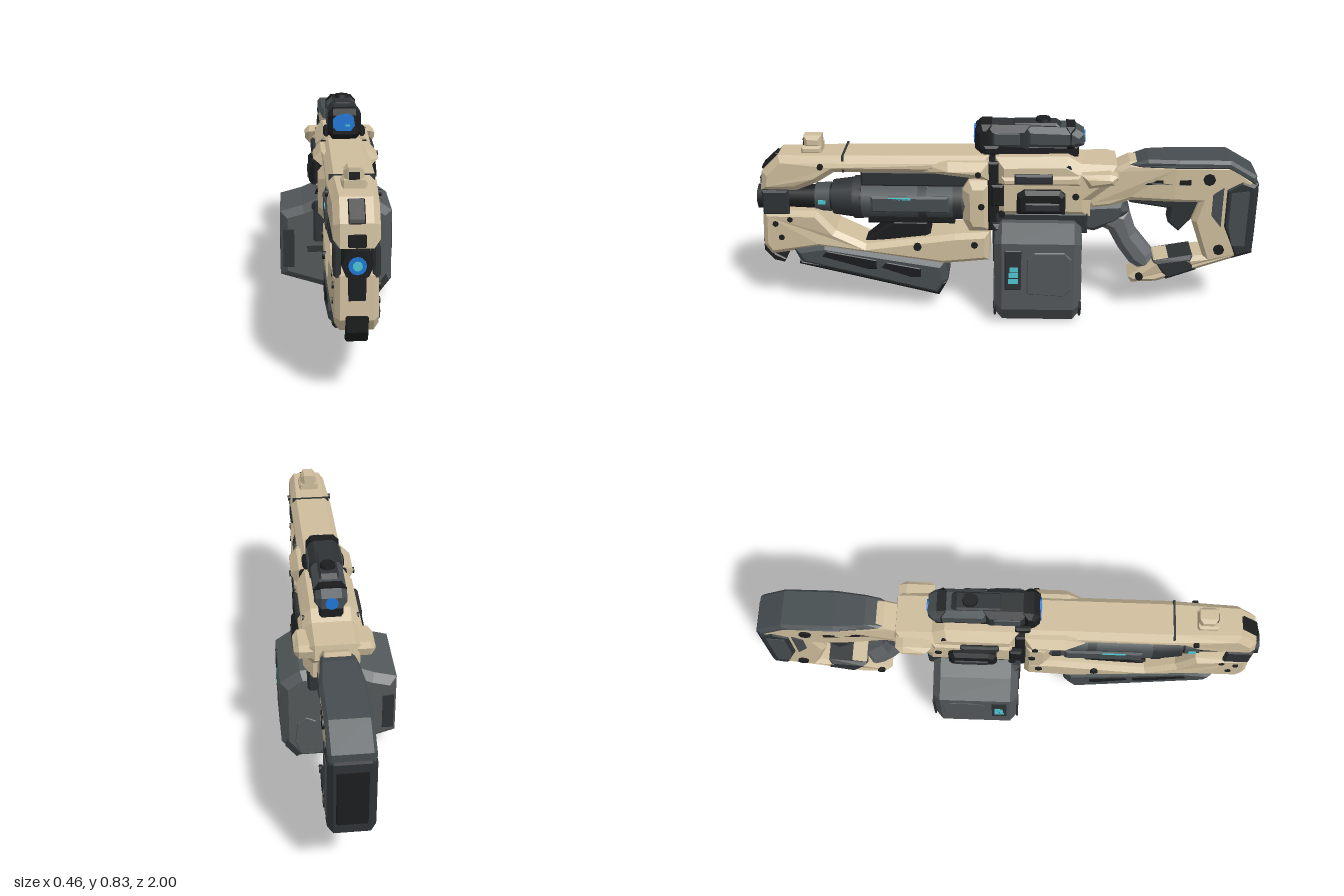
import * as THREE from 'three';

const mat = (name, color) => new THREE.MeshStandardMaterial({ name, color });

export function createModel() {
  const tan = mat('tan shell', 0xcfbe9d), slate = mat('blue slate', 0x464d50), steel = mat('magazine grey', 0x53585a),
    dark = mat('dark grey', 0x2f3335), black = mat('black', 0x1b1d1e), gripGrey = mat('grip grey', 0x676b6f),
    blue = mat('blue lens', 0x1f78d8), cyan = mat('cyan light', 0x4cc8d2);
  const root = new THREE.Group();
  root.name = 'rifle';
  const gun = new THREE.Group();
  gun.name = 'gunBody';
  gun.position.x = 0.028;
  root.add(gun);

  const add = (name, geo, m, parent = gun) => {
    const mesh = new THREE.Mesh(geo, m);
    mesh.name = name;
    parent.add(mesh);
    return mesh;
  };
  // Extrudes a bevelled outline, keeping its outer size
  const slab = (pts, width, bevel) => {
    const shape = new THREE.Shape();
    for (let i = 0; i < pts.length; i += 2) shape[i ? 'lineTo' : 'moveTo'](pts[i], pts[i + 1]);
    const g = new THREE.ExtrudeGeometry(shape, {
      depth: width - 2 * bevel, bevelEnabled: bevel > 0, bevelThickness: bevel,
      bevelSize: bevel, bevelOffset: -bevel, bevelSegments: 1,
    });
    return g.translate(0, 0, -(width - 2 * bevel) / 2);
  };
  // Side outline of z, y pairs extruded across x; widthAt scales x along the part
  const side = (name, pts, width, m, { bevel = 0.015, x = 0, widthAt, parent = gun } = {}) => {
    const g = slab(pts, width, bevel).rotateY(-Math.PI / 2).translate(x, 0, 0);
    if (widthAt) {
      const p = g.attributes.position;
      for (let i = 0; i < p.count; i++) p.setX(i, p.getX(i) * widthAt(p.getZ(i)));
      g.computeVertexNormals();
    }
    return add(name, g, m, parent);
  };
  // Block by its z and y ranges
  const block = (name, z0, z1, y0, y1, width, m, o = {}) => {
    const [a, b] = [Math.min(z0, z1), Math.max(z0, z1)];
    return side(name, [a, y0, b, y0, b, y1, a, y1], width, m, { bevel: 0.008, ...o });
  };
  const tube = (name, z0, z1, r0, r1, m, y = 0.48, n = 16) => {
    const g = new THREE.CylinderGeometry(r1, r0, z1 - z0, n).rotateX(Math.PI / 2);
    return add(name, g.translate(0, y, (z0 + z1) / 2), m);
  };
  const both = (f) => [-1, 1].forEach(f);
  const bolt = (z, y, half, r = 0.02) => both((s) => {
    const g = new THREE.CylinderGeometry(r, r, 0.014, 8).rotateZ(Math.PI / 2);
    add('bolt', g.translate(s * half, y, z), black);
  });

  // Upper shroud and its rear flare
  side('upperShroud', [0.97, 0.53, 0.96, 0.61, 0.89, 0.68, 0.62, 0.685, 0.06, 0.69, 0.06, 0.615, 0.67, 0.615, 0.74, 0.57, 0.83, 0.53],
    0.175, tan, { bevel: 0.025, widthAt: (z) => (z > 0.8 ? 0.88 : 1) });
  side('shroudFlare', [0.06, 0.6, 0.32, 0.62, 0.32, 0.655, 0.22, 0.675, 0.06, 0.675], 0.25, tan,
    { bevel: 0.03, widthAt: (z) => (z > 0.25 ? 0.72 : 1) });
  block('shroudSeam', 0.628, 0.636, 0.62, 0.688, 0.16, dark, { bevel: 0 });
  block('underShroudBlock', 0.1, 0.57, 0.55, 0.616, 0.11, dark);
  side('frontPort', [0.957, 0.606, 0.966, 0.612, 0.962, 0.625, 0.905, 0.678, 0.885, 0.672], 0.055, black, { bevel: 0.003 });
  block('frontBrowPlate', 0.964, 0.976, 0.535, 0.575, 0.06, black, { bevel: 0.003 });
  bolt(0.72, 0.645, 0.088, 0.012);
  bolt(0.1, 0.635, 0.124, 0.012);

  // Front sight
  block('sightBase', 0.72, 0.8, 0.68, 0.71, 0.085, tan);
  block('frontSight', 0.72, 0.79, 0.7, 0.75, 0.068, tan, { bevel: 0.014 });
  block('sightWindow', 0.78, 0.794, 0.705, 0.735, 0.035, black, { bevel: 0 });

  // Barrel assembly
  tube('muzzle', 0.9, 0.992, 0.055, 0.052, black, 0.48, 8);
  tube('muzzleLens', 0.985, 0.996, 0.03, 0.03, blue, 0.48, 12);
  tube('muzzleGlow', 0.99, 1, 0.016, 0.016, cyan, 0.48, 12);
  tube('barrelNeck', 0.66, 0.92, 0.055, 0.042, black);
  tube('barrelRing', 0.7, 0.76, 0.06, 0.056, slate);
  tube('barrelCone', 0.57, 0.69, 0.086, 0.07, dark);
  tube('barrelBody', 0.1, 0.59, 0.084, 0.084, slate, 0.48, 12);
  [0.17, 0.31, 0.57].forEach((z) => tube('barrelBand', z, z + 0.035, 0.087, 0.087, dark, 0.48, 12));
  block('barrelKeel', 0.2, 0.55, 0.385, 0.43, 0.1, black);
  both((s) => {
    block('barrelSidePlate', 0.22, 0.53, 0.45, 0.52, 0.018, slate, { x: s * 0.08 });
    block('barrelLight', 0.37, 0.46, 0.506, 0.515, 0.006, cyan, { x: s * 0.086, bevel: 0 });
    block('neckLight', 0.715, 0.745, 0.472, 0.488, 0.006, cyan, { x: s * 0.058, bevel: 0 });
    block('muzzleBracket', 0.86, 0.965, 0.43, 0.535, 0.025, dark, { x: s * 0.064 });
  });
  side('barrelCollar', [0.05, 0.37, 0.14, 0.37, 0.165, 0.42, 0.165, 0.55, 0.14, 0.59, 0.05, 0.59], 0.21, tan, { bevel: 0.03 });
  bolt(0.09, 0.49, 0.105, 0.013);

  // Lower handguard and foregrip
  side('lowerHandguard', [0.97, 0.44, 0.75, 0.445, 0.68, 0.36, 0.56, 0.3, 0.2, 0.35, 0.06, 0.36, 0.06, 0.235, 0.25, 0.215, 0.75, 0.285, 0.95, 0.245, 0.98, 0.29],
    0.17, tan, { bevel: 0.02, widthAt: (z) => (z > 0.8 ? 0.85 : 1) });
  side('handguardStrut', [0.57, 0.3, 0.45, 0.4, 0.3, 0.4, 0.3, 0.32], 0.1, black);
  side('foregrip', [0.86, 0.28, 0.73, 0.305, 0.24, 0.225, 0.23, 0.14, 0.27, 0.07, 0.83, 0.21], 0.175, slate, { bevel: 0.025 });
  side('foregripBase', [0.835, 0.225, 0.84, 0.206, 0.27, 0.068, 0.235, 0.13], 0.15, black, { bevel: 0.01 });
  both((s) => [[0.74, 0.52], [0.5, 0.34]].forEach(([a, b]) => {
    const y = (z) => 0.16 + 0.2 * (z - 0.34);
    side('foregripPanel', [a, y(a) + 0.01, a - 0.02, y(a) + 0.035, b, y(b) + 0.04, b, y(b), b + 0.04, y(b)],
      0.01, black, { x: s * 0.0855, bevel: 0.003 });
  }));
  block('frontPlate', 0.966, 0.976, 0.355, 0.44, 0.06, black, { bevel: 0.003 });
  side('frontHook', [0.986, 0.305, 0.965, 0.305, 0.94, 0.25, 0.945, 0.235, 0.9, 0.21, 0.91, 0.195, 0.95, 0.205, 0.986, 0.25], 0.075, black, { bevel: 0.005 });
  bolt(0.92, 0.39, 0.073, 0.012);
  bolt(0.86, 0.41, 0.073, 0.012);
  bolt(0.9, 0.33, 0.073, 0.012);
  bolt(0.35, 0.3, 0.088, 0.016);
  bolt(0.12, 0.31, 0.085, 0.014);

  // Receiver
  side('receiver', [0.035, 0.44, 0.035, 0.69, -0.25, 0.695, -0.3, 0.665, -0.44, 0.66, -0.45, 0.6, -0.34, 0.51, -0.34, 0.44],
    0.22, tan, { bevel: 0.035 });
  block('receiverGap', 0.02, 0.065, 0.38, 0.675, 0.19, black);
  block('magazineWell', 0.04, -0.33, 0.37, 0.46, 0.19, dark);
  both((s) => {
    side('receiverEar', [-0.3, 0.64, -0.41, 0.645, -0.44, 0.635, -0.43, 0.6, -0.33, 0.585], 0.1, tan, { x: s * 0.1, bevel: 0.018 });
    side('receiverRib', [0.01, 0.585, 0.01, 0.62, -0.3, 0.63, -0.3, 0.585], 0.04, tan, { x: s * 0.1, bevel: 0.012 });
    block('sideSlot', -0.04, -0.19, 0.595, 0.637, 0.02, dark, { x: s * 0.118 });
    side('sidePort', [-0.05, 0.47, -0.05, 0.55, -0.08, 0.57, -0.22, 0.57, -0.24, 0.55, -0.24, 0.47], 0.05, black, { x: s * 0.113 });
    block('portCover', -0.08, -0.22, 0.485, 0.525, 0.02, dark, { x: s * 0.133 });
    block('sideLug', 0.0, 0.05, 0.5, 0.59, 0.03, black, { x: s * 0.11 });
  });
  bolt(-0.28, 0.54, 0.108, 0.014);
  bolt(0.01, 0.46, 0.108, 0.014);
  bolt(-0.25, 0.655, 0.1, 0.012);

  // Scope
  block('scopeRail', 0.05, -0.29, 0.68, 0.725, 0.09, black);
  side('scopeHood', [0.115, 0.715, 0.115, 0.79, 0.09, 0.812, 0.05, 0.812, 0.05, 0.695, 0.09, 0.692], 0.13, black, { bevel: 0.02 });
  side('scopeFront', [0.07, 0.71, 0.07, 0.81, -0.1, 0.81, -0.1, 0.7], 0.126, dark, { bevel: 0.024 });
  side('scopeBody', [-0.08, 0.715, -0.08, 0.805, -0.27, 0.8, -0.31, 0.775, -0.31, 0.73, -0.27, 0.715], 0.12, slate, { bevel: 0.022 });
  block('scopeRearBand', -0.24, -0.275, 0.712, 0.805, 0.124, black, { bevel: 0.02 });
  side('scopeTop', [-0.02, 0.8, -0.04, 0.815, -0.2, 0.815, -0.23, 0.795], 0.075, dark, { bevel: 0.008 });
  add('scopeDial', new THREE.CylinderGeometry(0.028, 0.034, 0.03, 10).translate(0, 0.813, -0.15), black);
  add('scopeLens', slab([-0.045, 0.745, -0.03, 0.73, 0.025, 0.73, 0.04, 0.75, 0.035, 0.785, 0.015, 0.797, -0.03, 0.79, -0.045, 0.775], 0.008, 0)
    .translate(0, 0, 0.115), blue);
  add('scopeGlint', new THREE.BoxGeometry(0.016, 0.008, 0.004).translate(0.012, 0.752, 0.12), cyan);
  tube('scopeEyepiece', -0.315, -0.306, 0.024, 0.024, blue, 0.753);
  both((s) => {
    block('scopeKnob', 0.02, 0.08, 0.7, 0.735, 0.025, black, { x: s * 0.07 });
    block('scopeSidePlate', -0.06, 0.04, 0.735, 0.785, 0.01, slate, { x: s * 0.063, bevel: 0.003 });
  });

  // Stock frame, open around the grip, narrower toward the receiver
  const stockTaper = (z) => THREE.MathUtils.clamp(0.76 + (-0.5 - z) * 1.4, 0.76, 1);
  side('stockFrame', [-0.33, 0.49, -0.37, 0.57, -0.44, 0.64, -0.49, 0.665, -0.67, 0.665, -0.9, 0.665, -0.98, 0.6, -0.98, 0.275, -0.62, 0.14, -0.52, 0.13,
    -0.505, 0.155, -0.61, 0.24, -0.8, 0.265, -0.745, 0.42, -0.77, 0.5, -0.67, 0.5, -0.5, 0.5, -0.42, 0.47, -0.34, 0.46],
    0.155, tan, { bevel: 0.018, widthAt: stockTaper });
  side('stockWeb', [-0.48, 0.51, -0.78, 0.51, -0.75, 0.42, -0.7, 0.36, -0.655, 0.4, -0.66, 0.46, -0.5, 0.485], 0.085, dark, { bevel: 0.008 });
  side('stockLowerPad', [-0.6, 0.235, -0.66, 0.152, -0.78, 0.198, -0.76, 0.265], 0.15, dark);
  side('cheekPad', [-0.49, 0.655, -0.56, 0.68, -0.68, 0.682, -0.88, 0.682, -0.985, 0.62, -0.985, 0.58, -0.87, 0.645, -0.68, 0.642, -0.55, 0.64],
    0.164, slate, { bevel: 0.012, widthAt: stockTaper });
  side('buttPad', [-0.86, 0.57, -0.93, 0.61, -0.996, 0.585, -0.996, 0.28, -0.92, 0.255, -0.89, 0.33, -0.86, 0.4], 0.168, dark, { bevel: 0.02 });
  block('buttPlate', -0.985, -1.0, 0.32, 0.55, 0.11, black, { bevel: 0.004 });
  both((s) => {
    side('stockVent', [-0.49, 0.59, -0.73, 0.602, -0.73, 0.58, -0.6, 0.58, -0.49, 0.567], 0.012, black, { x: s * 0.075, bevel: 0, widthAt: stockTaper });
    side('stockInset', [-0.82, 0.54, -0.86, 0.57, -0.86, 0.4, -0.82, 0.45], 0.01, slate, { x: s * 0.077, bevel: 0 });
    side('buttInset', [-0.89, 0.55, -0.96, 0.56, -0.96, 0.32, -0.91, 0.32, -0.89, 0.4], 0.008, slate, { x: s * 0.083, bevel: 0 });
  });
  bolt(-0.8, 0.605, 0.078, 0.024);
  bolt(-0.86, 0.3, 0.08, 0.022);
  bolt(-0.55, 0.165, 0.066, 0.016);

  // Grip and trigger housing
  side('triggerHousing', [-0.3, 0.48, -0.3, 0.37, -0.36, 0.36, -0.45, 0.4, -0.5, 0.45, -0.47, 0.49], 0.12, slate, { bevel: 0.02 });
  side('grip', [-0.34, 0.4, -0.42, 0.355, -0.46, 0.28, -0.51, 0.21, -0.575, 0.165, -0.615, 0.2, -0.6, 0.26, -0.53, 0.35, -0.5, 0.44, -0.4, 0.47],
    0.105, gripGrey, { bevel: 0.03 });

  // Drum magazine: front outline extruded along z, corners drawn in at both ends
  const magazine = new THREE.Group();
  magazine.name = 'magazine';
  root.add(magazine);
  const magOutline = [-0.23, 0.105, 0.05, 0.02, 0.06, 0, 0.165, 0, 0.228, 0.08, 0.228, 0.375, 0.15, 0.43, -0.07, 0.43, -0.14, 0.4, -0.23, 0.375];
  add('magazineBody', slab(magOutline, 0.345, 0.03).translate(0, 0, -0.135), steel, magazine);
  const o = { parent: magazine };
  both((s) => {
    const x = s * 0.226;
    side('magazineRaisedPanel', [-0.09, 0.15, -0.09, 0.31, -0.12, 0.34, -0.24, 0.34, -0.27, 0.31, -0.27, 0.17, -0.24, 0.14],
      0.012, steel, { ...o, x, bevel: 0.006 });
    block('magazineWindow', -0.005, -0.07, 0.17, 0.345, 0.01, dark, { ...o, x, bevel: 0.003 });
    [0.2, 0.226, 0.252].forEach((y, i) => block('magazineLight', -0.018 - i * 0.003, -0.057, y, y + 0.022, 0.005, cyan,
      { ...o, x: s * 0.2295, bevel: 0 }));
    // Shoulder pieces beside the well
    block('magazineShoulder', 0.045, -0.26, 0.255, 0.42, 0.07, dark, { ...o, x: 0.028 + s * 0.095, bevel: 0.015 });
  });
  both((s) => {
    const z = s > 0 ? 0.037 : -0.307;
    add('magazineEndPanel', new THREE.BoxGeometry(0.045, 0.16, 0.008).translate(-0.195, 0.225, z), dark, magazine);
    add('magazineEndSlot', new THREE.BoxGeometry(0.07, 0.025, 0.008).translate(-0.085, 0.222, z), dark, magazine);
    add('magazineEndPlate', slab([0.09, 0.05, 0.16, 0.05, 0.175, 0.1, 0.165, 0.19, 0.13, 0.22, 0.09, 0.2], 0.01, 0.003)
      .translate(0, 0, z), steel, magazine);
    add('magazineFoot', slab([0.17, 0.02, 0.215, 0.08, 0.205, 0.11, 0.15, 0.035], 0.01, 0.003).translate(0, 0, z), dark, magazine);
  });
  return root;
}
